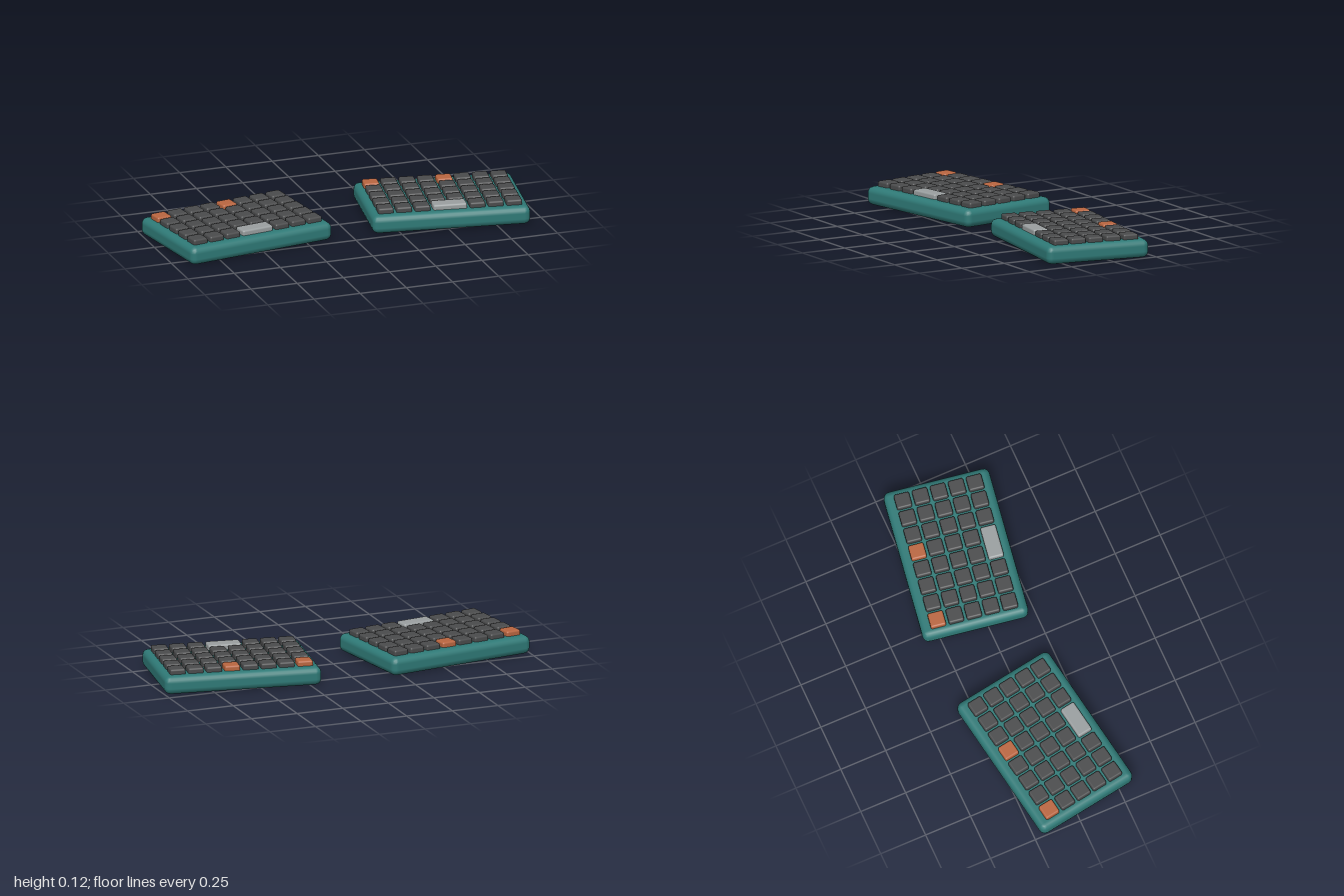
import * as THREE from 'three';
import { RoundedBoxGeometry } from 'three/addons/geometries/RoundedBoxGeometry.js';

const COLS = 8, ROWS = 5, PITCH = 0.095, KEY = 0.08;
const BODY_W = 0.82, BODY_H = 0.095, BODY_D = 0.557;
const KEY_TOP = 0.122, KEY_H = 0.044;

function material(name, color) {
  const m = new THREE.MeshStandardMaterial({ color });
  m.name = name;
  return m;
}

export function createModel() {
  const caseTeal = material('caseTeal', 0x2f7a77);
  const keyGrey = material('keyGrey', 0x4a4b4c);
  const accentOrange = material('accentOrange', 0xba6640);
  const spaceGrey = material('spaceGrey', 0x9a9fa0);

  const bodyGeo = new RoundedBoxGeometry(BODY_W, BODY_H, BODY_D, 2, 0.033);
  const keyGeo = new RoundedBoxGeometry(KEY, KEY_H, KEY, 2, 0.01);
  const spaceGeo = new RoundedBoxGeometry(KEY + PITCH, KEY_H, KEY, 2, 0.01);

  // One half: rounded case with a grid of keycaps sunk slightly into it
  function half(name) {
    const group = new THREE.Group();
    group.name = name;
    const add = (part, geo, mat, x, y, z) => {
      const mesh = new THREE.Mesh(geo, mat);
      mesh.name = part;
      mesh.position.set(x, y, z);
      group.add(mesh);
    };
    add('case', bodyGeo, caseTeal, 0, BODY_H / 2, 0);

    const keyY = KEY_TOP - KEY_H / 2;
    for (let r = 0; r < ROWS; r++) {
      const z = (r - (ROWS - 1) / 2) * PITCH;
      for (let c = 0; c < COLS; c++) {
        const x = (c - (COLS - 1) / 2) * PITCH;
        // The space bar takes the two middle places of the front row
        if (r === ROWS - 1 && (c === 3 || c === 4)) {
          if (c === 3) add('spaceBar', spaceGeo, spaceGrey, x + PITCH / 2, keyY, z);
          continue;
        }
        const accent = r === 0 && c % 4 === 0;
        add(accent ? 'accentKey' : 'key', keyGeo, accent ? accentOrange : keyGrey, x, keyY, z);
      }
    }
    return group;
  }

  // Two halves splayed in opposite directions
  const model = new THREE.Group();
  model.name = 'splitKeyboard';
  for (const side of [-1, 1]) {
    const h = half(side < 0 ? 'rightHalf' : 'leftHalf');
    h.position.x = side * 0.556;
    h.rotation.y = -side * THREE.MathUtils.degToRad(9);
    model.add(h);
  }
  return model;
}
